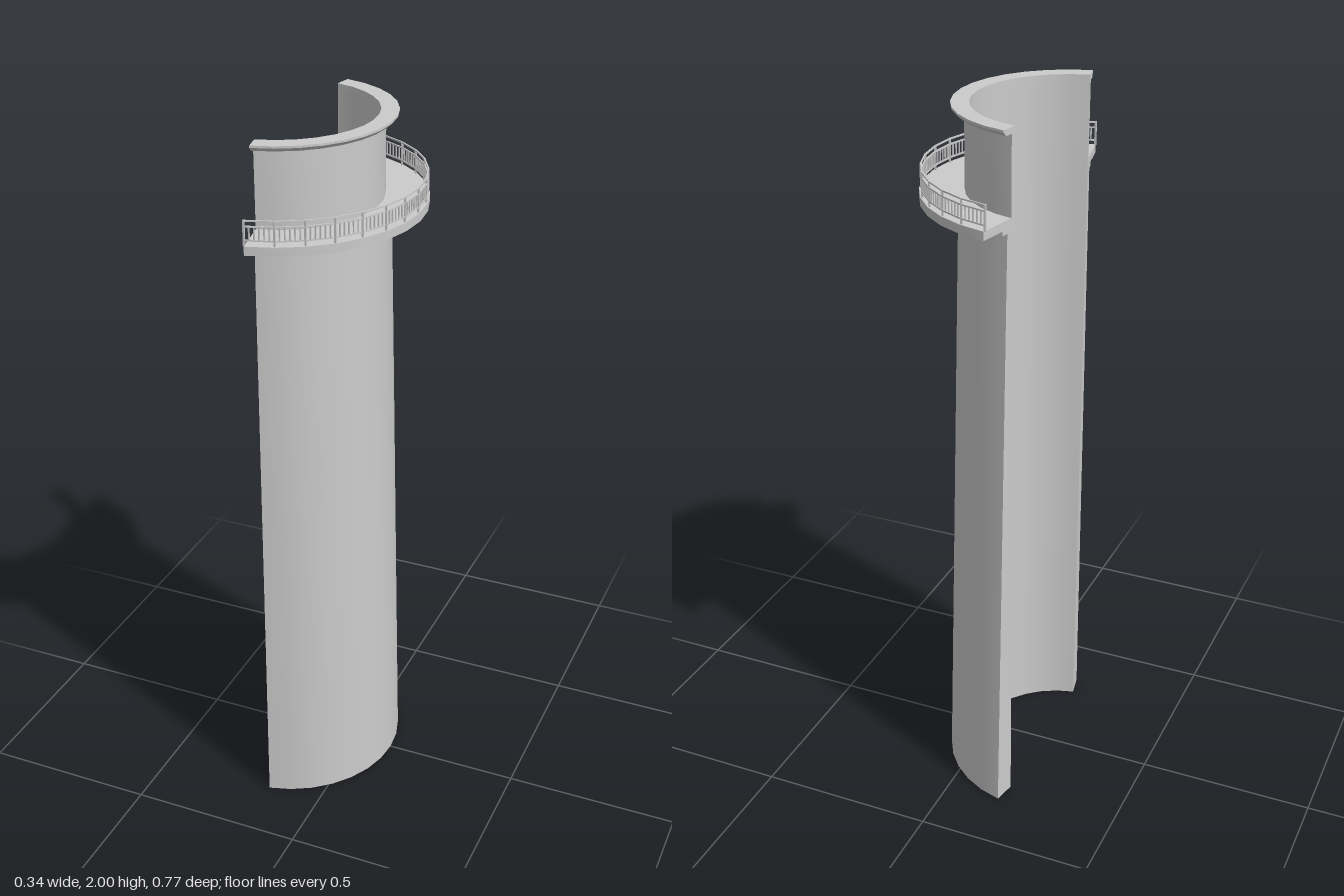
import * as THREE from 'three';
import { mergeGeometries, toCreasedNormals } from 'three/addons/utils/BufferGeometryUtils.js';

const STEP = Math.PI / 16;            // one facet of a 32-sided tower
const FACETS = 14;                    // the remaining arc
const START = Math.PI / 2 - 7 * STEP;
const AXIS_X = -0.222;
const INNER = 0.262;

const material = new THREE.MeshStandardMaterial({ color: 0xcccccc });

// Sweep a closed counter-clockwise (radius, height) outline round the arc and cap both ends
function arcSolid(name, outline) {
  const pts = outline.map(([r, y]) => new THREE.Vector2(r, y));
  const side = new THREE.LatheGeometry([...pts, pts[0].clone()], FACETS, START, FACETS * STEP);
  const caps = [0, FACETS].map((i) => {
    const cap = new THREE.ShapeGeometry(new THREE.Shape(pts));
    if (i) cap.index.array.reverse();
    return cap.rotateY(START + i * STEP - Math.PI / 2);
  });
  const geometry = toCreasedNormals(mergeGeometries([side, ...caps].map((g) => g.toNonIndexed())), 0.5);
  const mesh = new THREE.Mesh(geometry, material);
  mesh.name = name;
  return mesh;
}

// Point on the arc, t counted in facets, straight along each facet
function arcPoint(r, t, y) {
  const at = (i) => new THREE.Vector3(r * Math.sin(START + i * STEP), y, r * Math.cos(START + i * STEP));
  const i = Math.min(Math.floor(t), FACETS - 1);
  return at(i).lerp(at(i + 1), t - i);
}

// Square bar between two points
function bar(a, b, thickness) {
  const g = new THREE.BoxGeometry(thickness, thickness, a.distanceTo(b));
  const m = new THREE.Matrix4().lookAt(b, a, Math.abs(b.y - a.y) > 0.01 ? new THREE.Vector3(1, 0, 0) : new THREE.Vector3(0, 1, 0));
  m.setPosition(a.clone().add(b).multiplyScalar(0.5));
  return g.applyMatrix4(m);
}

function barMesh(name, bars) {
  const mesh = new THREE.Mesh(mergeGeometries(bars), material);
  mesh.name = name;
  return mesh;
}

function railing() {
  const group = new THREE.Group();
  group.name = 'railing';
  const R = 0.387;
  const rails = [], posts = [], balusters = [];
  const perFacet = 6;
  for (let i = 0; i < FACETS; i++) {
    // top, middle and bottom rails
    for (const [y, w] of [[1.836, 0.004], [1.821, 0.004], [1.785, 0.004]]) {
      rails.push(bar(arcPoint(R, i, y), arcPoint(R, i + 1, y), w));
    }
    // balusters between the middle and bottom rails
    for (let k = 1; k < perFacet; k++) {
      const t = i + k / perFacet;
      balusters.push(bar(arcPoint(R, t, 1.785), arcPoint(R, t, 1.821), 0.0035));
    }
  }
  for (let i = 0; i <= FACETS; i++) {
    posts.push(bar(arcPoint(R, i, 1.77), arcPoint(R, i, 1.838), 0.005));
  }
  group.add(barMesh('rails', rails), barMesh('posts', posts), barMesh('balusters', balusters));
  return group;
}

export function createModel() {
  const model = new THREE.Group();
  model.name = 'towerSection';
  const arc = new THREE.Group();
  arc.name = 'arc';
  arc.position.x = AXIS_X;
  arc.add(
    // tapering shaft and straight neck in one wall with a vertical inside
    arcSolid('towerWall', [
      [INNER, 0], [0.328, 0], [0.292, 1.737], [0.275, 1.737], [0.275, 1.985], [INNER, 1.985],
    ]),
    // stepped ring under the gallery
    arcSolid('galleryCorbel', [[0.268, 1.735], [0.314, 1.735], [0.314, 1.747], [0.268, 1.747]]),
    arcSolid('galleryFloor', [[0.268, 1.747], [0.393, 1.747], [0.393, 1.771], [0.268, 1.771]]),
    // flared rim at the top
    arcSolid('topRim', [[INNER, 1.983], [0.298, 1.983], [0.31, 1.994], [0.31, 2], [INNER, 2]]),
    railing(),
  );
  model.add(arc);
  return model;
}
